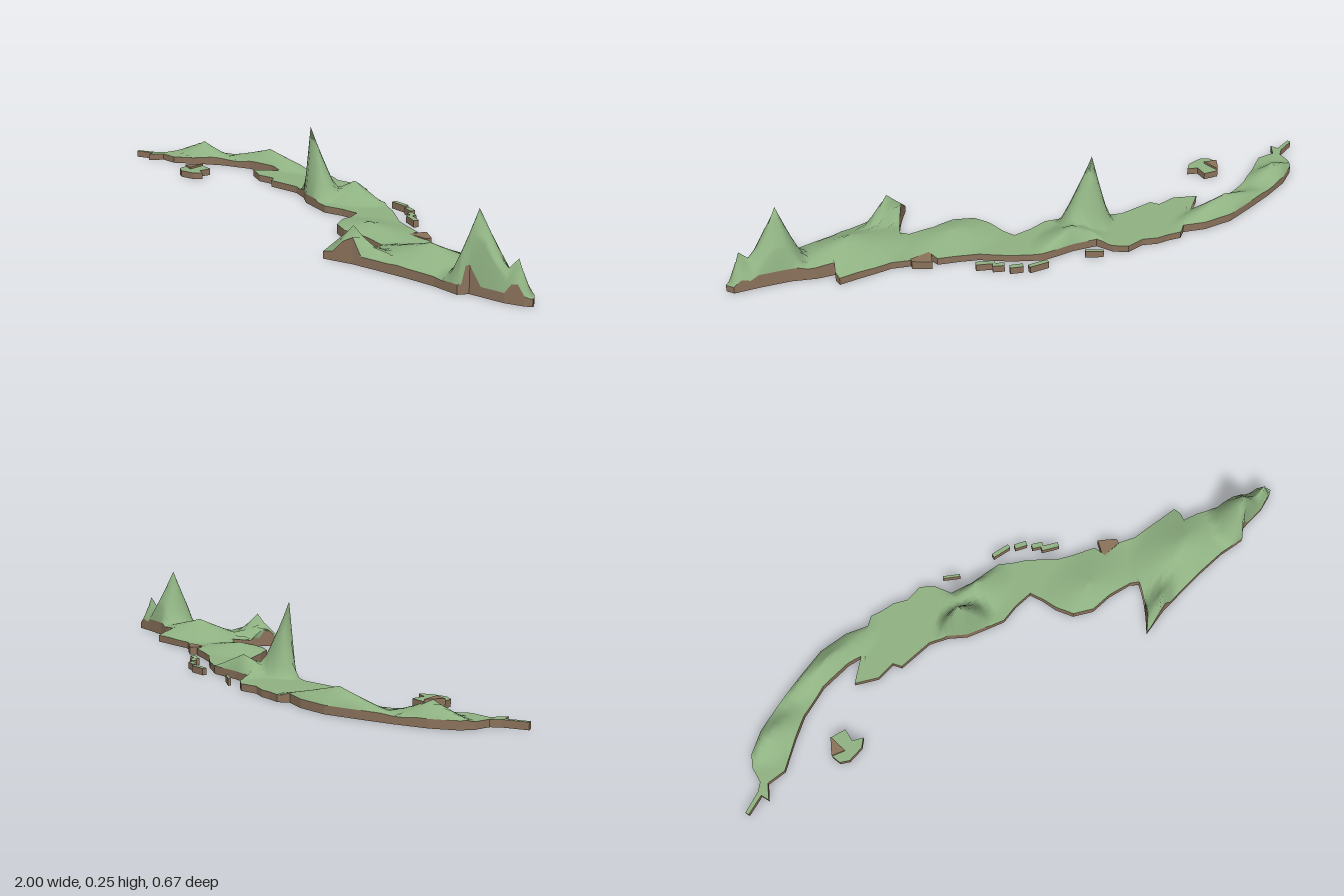
import * as THREE from 'three';

// Coastline points (x, z), west to east; entry i of each list forms one rung.
const north = [
  -1, -.09, -.93, -.115, -.905, -.135, -.895, -.185, -.87, -.22, -.8, -.26, -.7, -.29, -.59, -.315,
  -.49, -.335, -.39, -.325, -.32, -.297, -.307, -.307, -.29, -.318, -.25, -.307, -.21, -.302, -.165, -.28,
  -.105, -.286, -.067, -.254, -.045, -.2, .03, -.18, .095, -.174, .14, -.168, .18, -.14, .215, -.12,
  .26, -.083, .297, -.05, .35, -.024, .415, .003, .42, .045, .49, .045, .54, .067, .6, .072,
  .65, .078, .71, .083, .71, .11, .687, .136, .75, .152, .82, .185, .91, .21, .987, .227, 1, .249,
];
const south = [
  -.997, -.078, -.93, -.099, -.922, -.072, -.89, -.115, -.826, -.11, -.735, -.168, -.666, -.206, -.56, -.238,
  -.452, -.243, -.398, -.233, -.41, -.206, -.479, -.179, -.41, -.142, -.345, -.147, -.33, -.12, -.21, -.12,
  -.152, -.094, -.104, -.056, -.045, -.035, .02, -.013, .083, -.024, .147, -.024, .163, .02, .174, .072,
  .2, .126, .26, .158, .334, .158, .414, .174, .447, .2, .42, .238, .372, .291, .334, .333,
  .43, .313, .52, .307, .617, .302, .714, .302, .8, .313, .82, .286, .928, .28, .98, .265, 1, .254,
];
// Summits: x, z, height, reach west, reach east, reach across.
const peaks = [
  [-.78, -.22, .07, .13, .13, .06], [-.5, -.285, .075, .2, .22, .06],
  [-.11, -.085, .25, .06, .12, .075], [.02, -.155, .078, .12, .14, .1],
  [.3, .09, .05, .18, .18, .12], [.42, .298, .11, .1, .12, .05],
  [.62, .2, .08, .22, .25, .13], [.82, .25, .23, .08, .13, .095],
  [.95, .25, .12, .1, .04, .04],
];
const BASE = 0.022, STEPS = 3, ACROSS = 10;

function landHeight(x, z) {
  let y = BASE;
  for (const [px, pz, h, west, east, across] of peaks) {
    const d = Math.hypot((x - px) / (x < px ? west : east), (z - pz) / across);
    if (d < 1) y = Math.max(y, BASE + (h - BASE) * Math.pow(1 - d, 1.15));
  }
  return y;
}

// Grid of points: rows run west to east, columns from north to south coast.
function makeGrid() {
  const at = (list, t) => {
    const i = Math.min(Math.floor(t), list.length / 2 - 2), f = t - i;
    return [0, 1].map(k => list[i * 2 + k] * (1 - f) + list[i * 2 + 2 + k] * f);
  };
  const grid = [], last = (north.length / 2 - 1) * STEPS;
  for (let i = 0; i <= last; i++) {
    const n = at(north, i / STEPS), s = at(south, i / STEPS), row = [];
    for (let j = 0; j <= ACROSS; j++) {
      const f = j / ACROSS;
      const x = n[0] + (s[0] - n[0]) * f, z = n[1] + (s[1] - n[1]) * f;
      let y = landHeight(x, z);
      if (j === 0) y = Math.min(y, x > .6 ? .045 : .026);
      if (j === ACROSS) y = Math.min(y, x < .33 ? .03 : i % 5 < 2 ? .08 : .028);
      row.push(new THREE.Vector3(x, y, z));
    }
    grid.push(row);
  }
  // Pull the nearest grid point onto each summit so the tips stay sharp.
  for (const [x, y, z] of peaks.map(p => [p[0], p[2], p[1]])) {
    let best = null, dist = Infinity;
    for (const row of grid) for (const v of row.slice(1, -1)) {
      const d = Math.hypot(v.x - x, v.z - z);
      if (d < dist) { dist = d; best = v; }
    }
    best.set(x, y, z);
  }
  return grid;
}

function terrainGeometry(grid) {
  const index = [], w = ACROSS + 1;
  for (let i = 0; i < grid.length - 1; i++) for (let j = 0; j < ACROSS; j++) {
    const a = i * w + j, b = a + w;
    index.push(a, a + 1, b, b, a + 1, b + 1);
  }
  const g = new THREE.BufferGeometry().setFromPoints(grid.flat());
  g.setIndex(index);
  g.computeVertexNormals();
  return g;
}

// Vertical coast walls and the flat underside.
function cliffGeometry(grid) {
  const pts = [], floor = v => new THREE.Vector3(v.x, 0, v.z);
  const loop = [...grid.map(r => r[ACROSS]), ...grid.map(r => r[0]).reverse()];
  loop.forEach((a, i) => {
    const b = loop[(i + 1) % loop.length];
    pts.push(floor(a), floor(b), b, floor(a), b, a);
  });
  for (let i = 0; i < grid.length - 1; i++) {
    const [n0, n1] = [grid[i][0], grid[i + 1][0]].map(floor);
    const [s0, s1] = [grid[i][ACROSS], grid[i + 1][ACROSS]].map(floor);
    pts.push(n0, n1, s0, n1, s1, s0);
  }
  const g = new THREE.BufferGeometry().setFromPoints(pts);
  g.computeVertexNormals();
  return g;
}

export function createModel() {
  const green = new THREE.MeshStandardMaterial({ color: 0x90b383 });
  green.name = 'grass green';
  const brown = new THREE.MeshStandardMaterial({ color: 0x8c735c, side: THREE.DoubleSide });
  brown.name = 'earth brown';
  const model = new THREE.Group();
  model.name = 'reliefIsland';
  const add = (name, geometry, material) => {
    const mesh = new THREE.Mesh(geometry, material);
    mesh.name = name;
    model.add(mesh);
  };

  // Main island
  const grid = makeGrid();
  add('mainlandTerrain', terrainGeometry(grid), green);
  add('mainlandCliffs', cliffGeometry(grid), brown);

  // Small flat slabs of land
  const slab = (name, points, height, grassy = true) => {
    const shape = new THREE.Shape(points.map(([x, z]) => new THREE.Vector2(x, -z)));
    const body = new THREE.ExtrudeGeometry(shape, { depth: height, bevelEnabled: false });
    add(name + 'Cliffs', body.rotateX(-Math.PI / 2), brown);
    if (!grassy) return;
    const top = new THREE.ShapeGeometry(shape).rotateX(-Math.PI / 2);
    add(name + 'Grass', top.translate(0, height + .001, 0), green);
  };
  slab('southIsle', [[-.65, -.094], [-.6, -.083], [-.607, -.04], [-.575, -.024], [-.6, -.003],
    [-.655, .003], [-.682, -.013], [-.687, -.045], [-.645, -.03]], .022);
  slab('southIsleBluff', [[-.672, -.067], [-.65, -.094], [-.645, -.03], [-.687, -.045]], .03, false);
  slab('bareHeadland', [[.415, .04], [.44, -.008], [.49, .03], [.485, .046], [.42, .046]], .026, false);

  // Chain of cays off the north coast: x, z of both ends and half width
  [[-.027, -.26, .02, -.227, .004], [.147, -.205, .21, -.195, .007], [.222, -.18, .26, -.163, .008],
    [.265, -.142, .297, -.124, .008], [.283, -.115, .335, -.088, .008]].forEach(([x0, z0, x1, z1, r], i) => {
    const len = Math.hypot(x1 - x0, z1 - z0), ox = (z1 - z0) / len * r, oz = -(x1 - x0) / len * r;
    slab('cay' + (i + 1), [[x0 + ox, z0 + oz], [x1 + ox, z1 + oz],
      [x1 - ox, z1 - oz], [x0 - ox, z0 - oz]], .022);
  });
  return model;
}
